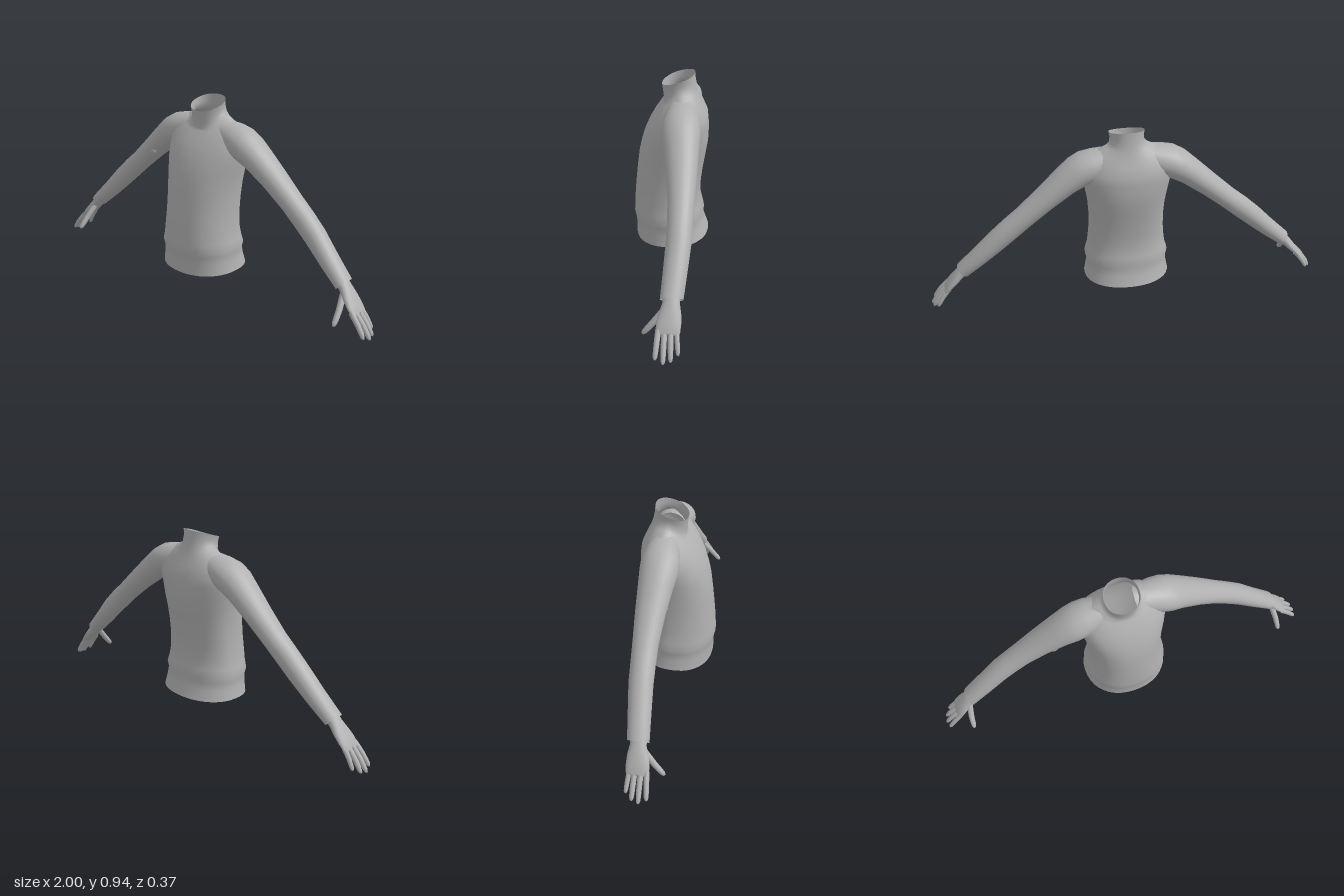
import * as THREE from 'three';

const gray = new THREE.MeshStandardMaterial({ color: 0xb0b0b0, side: THREE.DoubleSide });
gray.name = 'plain gray';

const V = (x, y, z) => new THREE.Vector3(x, y, z);

// Skin a list of rings (equal-length arrays of points) into a smooth tube.
function skin(rings, capEnd = false) {
  const n = rings[0].length, pos = [], idx = [];
  rings.forEach(r => r.forEach(p => pos.push(p.x, p.y, p.z)));
  for (let i = 0; i < rings.length - 1; i++) {
    for (let j = 0; j < n; j++) {
      const k = (j + 1) % n, a = i * n + j, b = i * n + k;
      idx.push(a, b, b + n, a, b + n, a + n);
    }
  }
  if (capEnd) {
    const last = (rings.length - 1) * n;
    for (let j = 1; j < n - 1; j++) idx.push(last, last + j, last + j + 1);
  }
  const g = new THREE.BufferGeometry();
  g.setAttribute('position', new THREE.Float32BufferAttribute(pos, 3));
  g.setIndex(idx);
  g.computeVertexNormals();
  return g;
}

// Elliptical ring around c spanned by the half axes u and v.
function ellipse(c, u, v, n) {
  return Array.from({ length: n }, (_, j) => {
    const t = j / n * Math.PI * 2;
    return c.clone().addScaledVector(u, Math.cos(t)).addScaledVector(v, Math.sin(t));
  });
}

function add(parent, name, geometry) {
  const m = new THREE.Mesh(geometry, gray);
  m.name = name;
  parent.add(m);
  return m;
}

// Body ring: heights at front, side and back, half width, front z, back z, z of widest point.
function bodyRing([yf, ys, yb, hw, zf, zb, zs], n = 40) {
  const pw = v => Math.sign(v) * Math.abs(v) ** 0.92;
  return Array.from({ length: n }, (_, j) => {
    const t = j / n * Math.PI * 2, c = Math.cos(t), a = Math.abs(c);
    return V(hw * pw(Math.sin(t)), ys + ((c > 0 ? yf : yb) - ys) * a,
      zs + (c > 0 ? zf - zs : zs - zb) * pw(c));
  });
}

// Ring across an arm: centre, downward tilt in degrees, half height, half depth.
function armRing([x, y, z, tilt, hh, hd], s, n) {
  const t = THREE.MathUtils.degToRad(tilt);
  return ellipse(V(s * x, y, z), V(s * Math.sin(t) * hh, Math.cos(t) * hh, 0), V(0, 0, s * hd), n);
}

// Rounded digit running through three points with radius r, thinning to the tip.
function digit(points, r, s) {
  const curve = new THREE.CatmullRomCurve3(points.map(p => V(s * p[0], p[1], p[2])));
  const side = V(0, 0, 1);
  const steps = [[0, 1], [0.25, 1], [0.5, 0.97], [0.75, 0.9], [0.9, 0.78], [0.97, 0.5], [1, 0.05]];
  return skin(steps.map(([t, k]) => {
    const d = curve.getTangent(t);
    const u = side.clone().cross(d).normalize();
    const v = d.clone().cross(u);
    return ellipse(curve.getPoint(t), u.multiplyScalar(r * k), v.multiplyScalar(r * k), 10);
  }));
}

const bodyRows = [
  [0.09, 0.105, 0.11, 0.215, 0.177, -0.185, -0.01],
  [0.15, 0.16, 0.16, 0.205, 0.177, -0.167, -0.01],
  [0.19, 0.195, 0.2, 0.203, 0.182, -0.156, -0.01],
  [0.215, 0.225, 0.225, 0.21, 0.188, -0.162, -0.01],
  [0.25, 0.26, 0.265, 0.199, 0.187, -0.152, -0.01],
  [0.31, 0.31, 0.31, 0.192, 0.184, -0.142, -0.01],
  [0.38, 0.38, 0.38, 0.186, 0.178, -0.144, -0.015],
  [0.46, 0.46, 0.46, 0.186, 0.17, -0.154, -0.02],
  [0.54, 0.54, 0.54, 0.191, 0.16, -0.167, -0.025],
  [0.6, 0.6, 0.6, 0.2, 0.147, -0.177, -0.03],
  [0.65, 0.65, 0.65, 0.209, 0.131, -0.179, -0.035],
  [0.7, 0.7, 0.7, 0.217, 0.109, -0.178, -0.045],
  [0.74, 0.755, 0.74, 0.215, 0.085, -0.174, -0.05],
  [0.775, 0.81, 0.785, 0.19, 0.06, -0.154, -0.05],
  [0.793, 0.843, 0.82, 0.14, 0.046, -0.138, -0.047],
  [0.802, 0.86, 0.85, 0.1, 0.04, -0.127, -0.043],
  [0.825, 0.873, 0.875, 0.084, 0.04, -0.12, -0.04],
  [0.86, 0.895, 0.91, 0.08, 0.044, -0.113, -0.035],
  [0.89, 0.92, 0.945, 0.085, 0.048, -0.11, -0.031],
];

const sleeveRows = [
  [0.08, 0.78, -0.05, 0, 0.068, 0.07],
  [0.16, 0.763, -0.052, 10, 0.077, 0.086],
  [0.205, 0.75, -0.05, 20, 0.079, 0.092],
  [0.245, 0.728, -0.05, 32, 0.076, 0.091],
  [0.3, 0.688, -0.054, 40, 0.067, 0.083],
  [0.4, 0.605, -0.06, 41, 0.058, 0.071],
  [0.5, 0.517, -0.062, 41, 0.053, 0.061],
  [0.57, 0.456, -0.06, 42, 0.054, 0.058],
  [0.64, 0.392, -0.057, 44, 0.052, 0.057],
  [0.73, 0.303, -0.046, 45, 0.045, 0.054],
  [0.825, 0.215, -0.034, 45, 0.037, 0.051],
  [0.818, 0.222, -0.034, 45, 0.029, 0.042],
];

const palmRows = [
  [0.8, 0.24, -0.034, 47, 0.027, 0.036],
  [0.835, 0.203, -0.032, 48, 0.025, 0.038],
  [0.865, 0.168, -0.028, 49, 0.022, 0.049],
  [0.892, 0.137, -0.024, 50, 0.018, 0.054],
  [0.917, 0.107, -0.022, 50, 0.013, 0.052],
  [0.923, 0.1, -0.022, 50, 0.006, 0.045],
];

// Base and tip of each finger, index to little.
const fingers = [
  [[0.905, 0.118, 0.019], [0.986, 0.016, 0.031]],
  [[0.907, 0.115, -0.007], [0.998, 0.003, -0.004]],
  [[0.905, 0.117, -0.034], [0.99, 0.009, -0.036]],
  [[0.9, 0.122, -0.058], [0.966, 0.026, -0.067]],
];

export function createModel() {
  const model = new THREE.Group();
  model.name = 'clothedUpperBody';

  // Sweater body with hem, shoulders and open collar
  add(model, 'torso', skin(bodyRows.map(r => bodyRing(r))));

  // Closed underside of the hem
  add(model, 'hemUnderside', skin([bodyRing(bodyRows[0]).reverse(), bodyRing(bodyRows[0]).reverse()], true));

  for (const s of [1, -1]) {
    const arm = new THREE.Group();
    arm.name = s > 0 ? 'leftArm' : 'rightArm';
    model.add(arm);
    add(arm, 'sleeve', skin(sleeveRows.map(r => armRing(r, s, 24))));
    add(arm, 'palm', skin(palmRows.map(r => armRing(r, s, 20)), true));
    fingers.forEach(([a, b], i) => {
      const mid = [(a[0] + b[0]) / 2 + 0.003, (a[1] + b[1]) / 2 + 0.003, (a[2] + b[2]) / 2];
      add(arm, 'finger' + (i + 1), digit([a, mid, b], i === 3 ? 0.0115 : 0.013, s));
    });
    add(arm, 'thumb', digit([[0.842, 0.178, -0.005], [0.856, 0.12, 0.042], [0.862, 0.06, 0.092]], 0.015, s));
  }

  // Small fold on the right sleeve
  const fold = add(model, 'sleeveFold', new THREE.SphereGeometry(0.022, 12, 8));
  fold.scale.set(1, 1, 0.5);
  fold.position.set(-0.355, 0.61, 0.002);

  return model;
}
